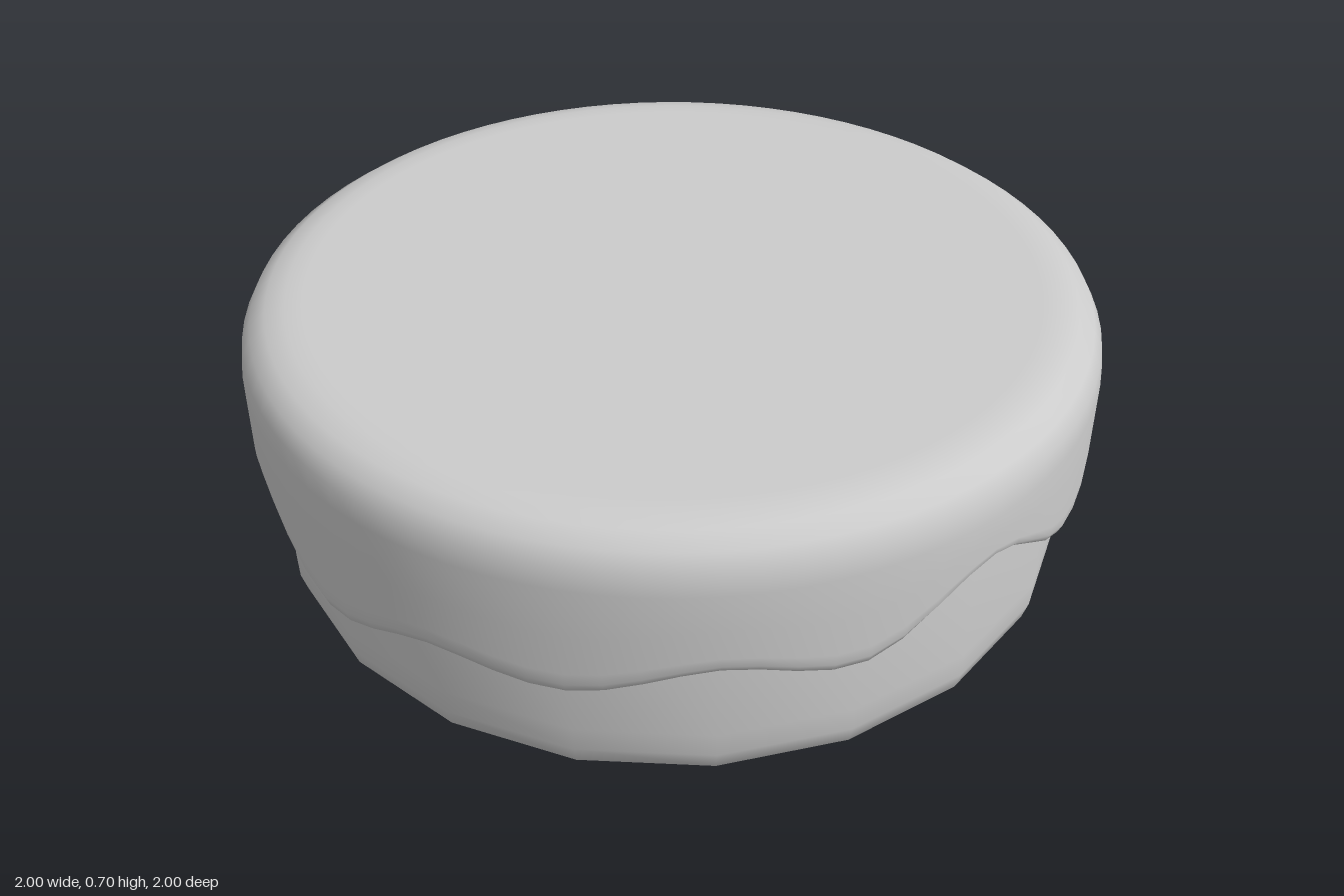
import * as THREE from 'three';
import { mergeVertices } from 'three/addons/utils/BufferGeometryUtils.js';

const SIDES = 20;
// Height of the icing's lower edge every 18 degrees, from the front towards +x
const DRIPS = [0.325, 0.30, 0.375, 0.325, 0.465, 0.325, 0.34, 0.25, 0.33, 0.42,
  0.31, 0.335, 0.25, 0.285, 0.42, 0.315, 0.34, 0.30, 0.40, 0.25];

// Smooth periodic curve through the drip heights
function dripHeight(angle) {
  const t = ((angle / (Math.PI * 2)) * SIDES + SIDES) % SIDES;
  const i = Math.floor(t), f = t - i;
  const d = (k) => DRIPS[(i + k + SIDES) % SIDES];
  const m0 = (d(1) - d(-1)) / 2, m1 = (d(2) - d(0)) / 2;
  const f2 = f * f, f3 = f2 * f;
  return (2 * f3 - 3 * f2 + 1) * d(0) + (f3 - 2 * f2 + f) * m0
    + (3 * f2 - 2 * f3) * d(1) + (f3 - f2) * m1;
}

function lathe(profile, segments) {
  return new THREE.LatheGeometry(profile.map(([r, y]) => new THREE.Vector2(r, y)), segments);
}

// Weld the seam and give smooth normals
function smoothMesh(geometry, name) {
  geometry.deleteAttribute('uv');
  geometry.deleteAttribute('normal');
  const welded = mergeVertices(geometry, 1e-4);
  welded.computeVertexNormals();
  const mesh = new THREE.Mesh(welded,
    new THREE.MeshStandardMaterial({ color: 0xcccccc, side: THREE.DoubleSide }));
  mesh.name = name;
  return mesh;
}

export function createModel() {
  const group = new THREE.Group();
  group.name = 'icedCake';

  // Sponge: round body with a rounded bottom edge, closed under the icing
  const sponge = lathe([[0, 0], [0.8, 0], [0.86, 0.003], [0.905, 0.02], [0.94, 0.055],
    [0.953, 0.1], [0.955, 0.16], [0.955, 0.56], [0.92, 0.64], [0, 0.66]], SIDES);
  group.add(smoothMesh(sponge, 'sponge'));

  // Icing: rounded cap whose lower lip follows the drips
  const LIP = 0.3, SHOULDER = 0.58;
  const icing = lathe([[0.92, 0.325], [0.95, 0.305], [0.972, 0.3], [0.99, 0.307], [0.999, 0.33],
    [1, 0.36], [1, 0.46], [1, 0.58], [0.993, 0.63], [0.972, 0.669], [0.935, 0.694],
    [0.89, 0.704], [0.85, 0.705], [0, 0.705]], SIDES * 4);
  const pos = icing.attributes.position;
  for (let i = 0; i < pos.count; i++) {
    const y = pos.getY(i);
    if (y >= SHOULDER) continue;
    const edge = dripHeight(Math.atan2(pos.getX(i), pos.getZ(i)));
    pos.setY(i, SHOULDER - (SHOULDER - y) * (SHOULDER - edge) / (SHOULDER - LIP));
  }
  group.add(smoothMesh(icing, 'icing'));

  return group;
}
